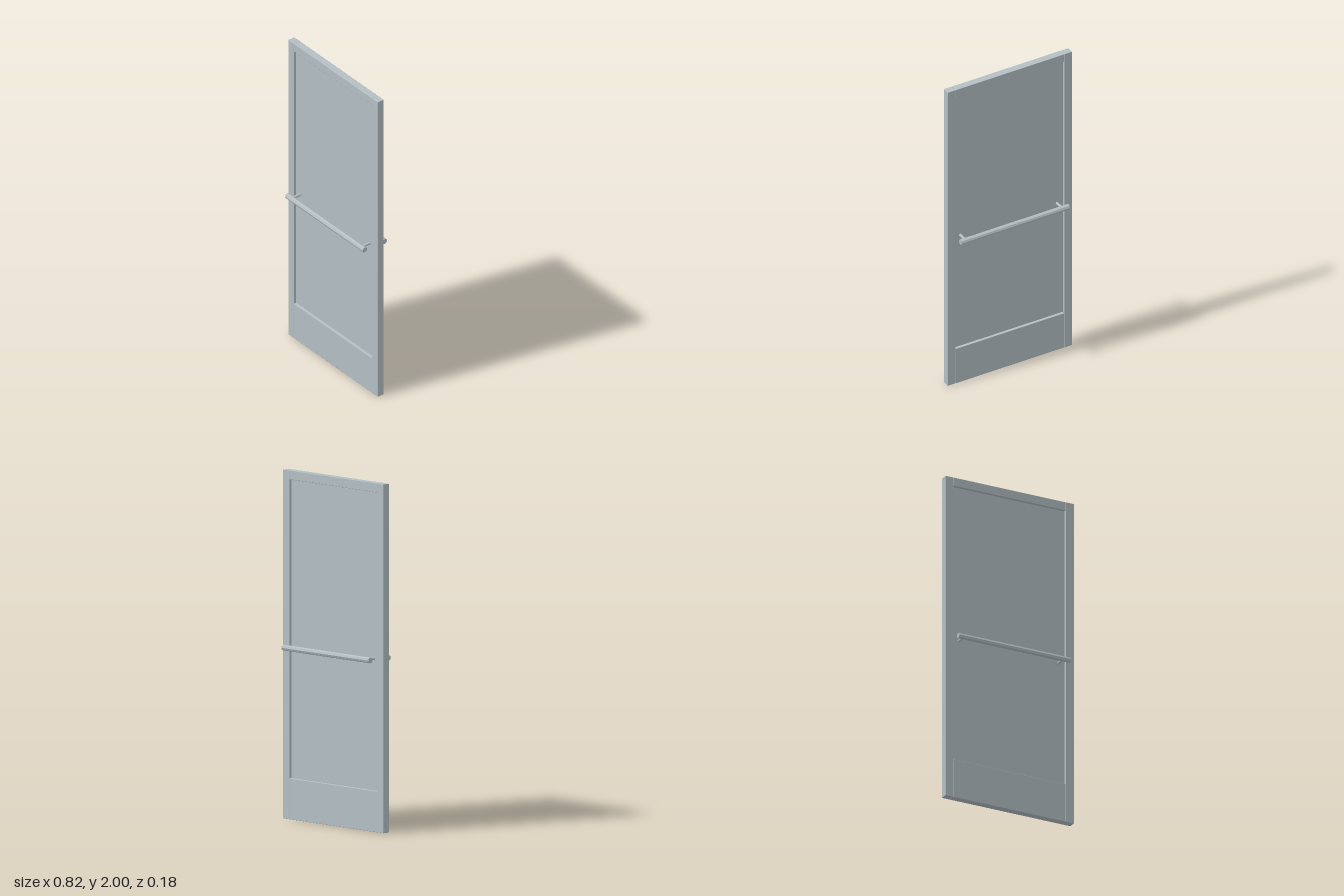
import * as THREE from 'three';
import { RoundedBoxGeometry } from 'three/addons/geometries/RoundedBoxGeometry.js';

export function createModel() {
  const door = new THREE.Group();
  door.name = 'door';
  const metal = new THREE.MeshStandardMaterial({ color: 0xb4bfc4 });
  metal.name = 'brushedMetal';

  const add = (name, geometry, x, y, z) => {
    const mesh = new THREE.Mesh(geometry, metal);
    mesh.name = name;
    mesh.position.set(x, y, z);
    door.add(mesh);
  };
  // Frame member with finely eased edges, given by its extents
  const member = (name, x0, x1, y0, y1) =>
    add(name, new RoundedBoxGeometry(x1 - x0, y1 - y0, 0.044, 1, 0.002), (x0 + x1) / 2, (y0 + y1) / 2, 0);

  // Frame: two stiles, top rail and tall kick rail
  member('rightStile', -0.411, -0.359, 0, 2);
  member('leftStile', 0.359, 0.411, 0, 2);
  member('topRail', -0.359, 0.359, 1.948, 2);
  member('bottomRail', -0.359, 0.359, 0, 0.235);

  // Thin recessed panel
  add('panel', new THREE.BoxGeometry(0.724, 1.72, 0.01), 0, 1.091, 0);

  // Eight-sided push bars and their posts, one set on each face
  const facet = (geometry) => {
    const flat = geometry.toNonIndexed();
    flat.computeVertexNormals();
    return flat;
  };
  for (const side of [1, -1]) {
    const face = side > 0 ? 'front' : 'back';
    const bar = new THREE.CylinderGeometry(0.0165, 0.0165, 0.714, 8).rotateZ(Math.PI / 2);
    add(face + 'PushBar', facet(bar), 0, 0.99, side * 0.072);
    for (const x of [-0.319, 0.319]) {
      const post = new THREE.CylinderGeometry(0.008, 0.008, 0.068, 8).rotateX(Math.PI / 2);
      add(face + 'BarPost', facet(post), x, 0.99, side * 0.037);
    }
  }
  return door;
}
